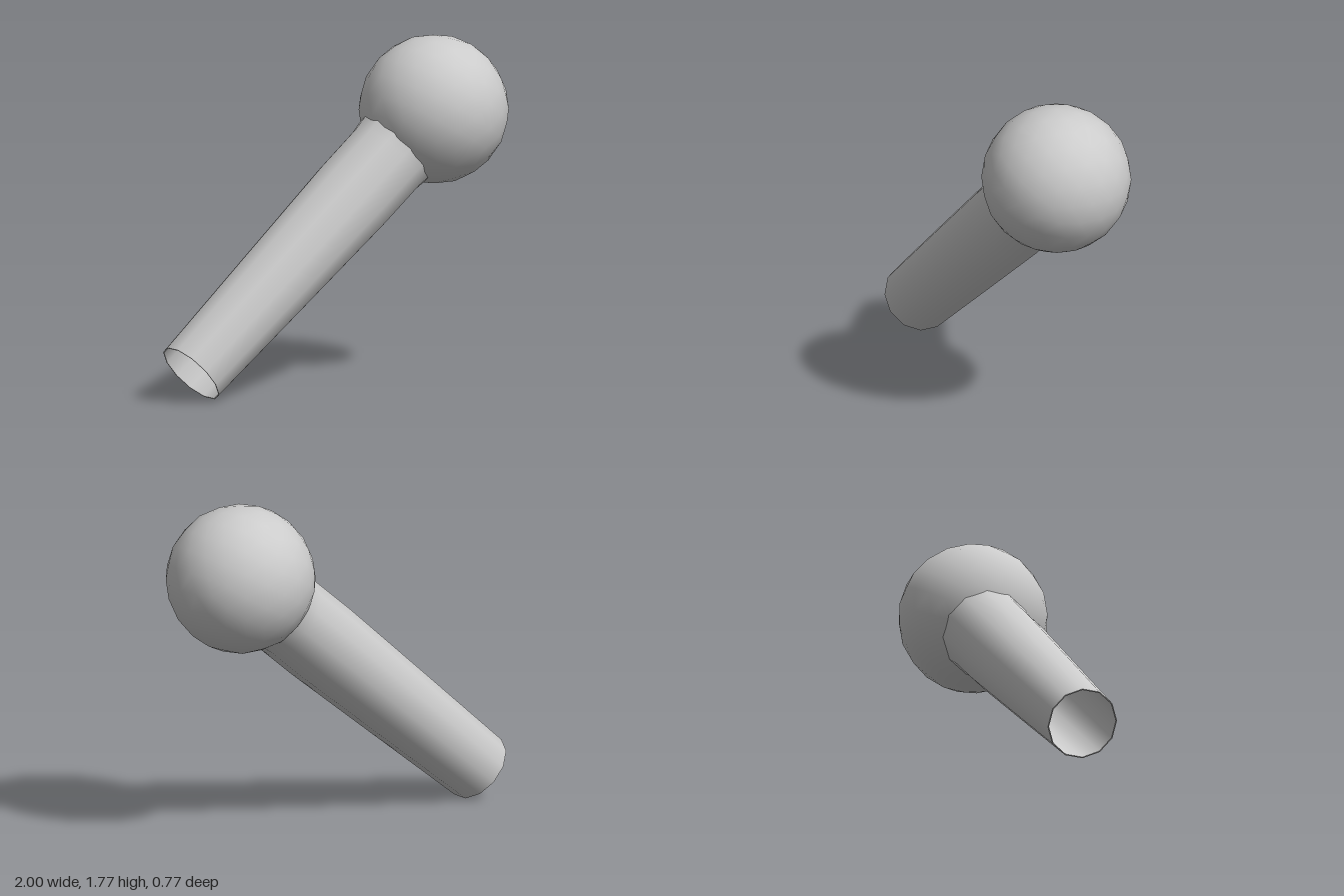
import * as THREE from 'three';

const SIDES = 12;
const TILT = THREE.MathUtils.degToRad(-50.3);

export function createModel() {
  const material = new THREE.MeshStandardMaterial({ color: 0xcccccc });
  const model = new THREE.Group();
  model.name = 'ballOnHandle';

  const add = (parent, name, geometry) => {
    const mesh = new THREE.Mesh(geometry, material);
    mesh.name = name;
    parent.add(mesh);
    return mesh;
  };
  // Twelve-sided turned part with flats toward the top and bottom
  const turned = (points) => new THREE.LatheGeometry(
    points.map(([r, y]) => new THREE.Vector2(r, y)), SIDES, Math.PI / SIDES, Math.PI * 2);

  // Round head
  add(model, 'ballHead', new THREE.IcosahedronGeometry(0.386, 3)).position.set(0.612, 1.382, 0);

  // Leaning hollow handle, its open end at the origin of the group
  const handle = new THREE.Group();
  handle.name = 'handle';
  handle.position.set(-0.886, 0.139, -0.018);
  handle.rotation.z = TILT;
  model.add(handle);

  add(handle, 'handleOuterWall', turned([[0.186, 0], [0.206, 0.65], [0.225, 1.3], [0.225, 1.58], [0.235, 1.66]]));
  add(handle, 'handleInnerWall', turned([[0.205, 1.4], [0.205, 1.3], [0.18, 0]]));
  add(handle, 'handleRim', turned([[0.18, 0], [0.186, 0]]));
  add(handle, 'handleInnerEnd', turned([[0, 1.4], [0.205, 1.4]]));

  return model;
}
